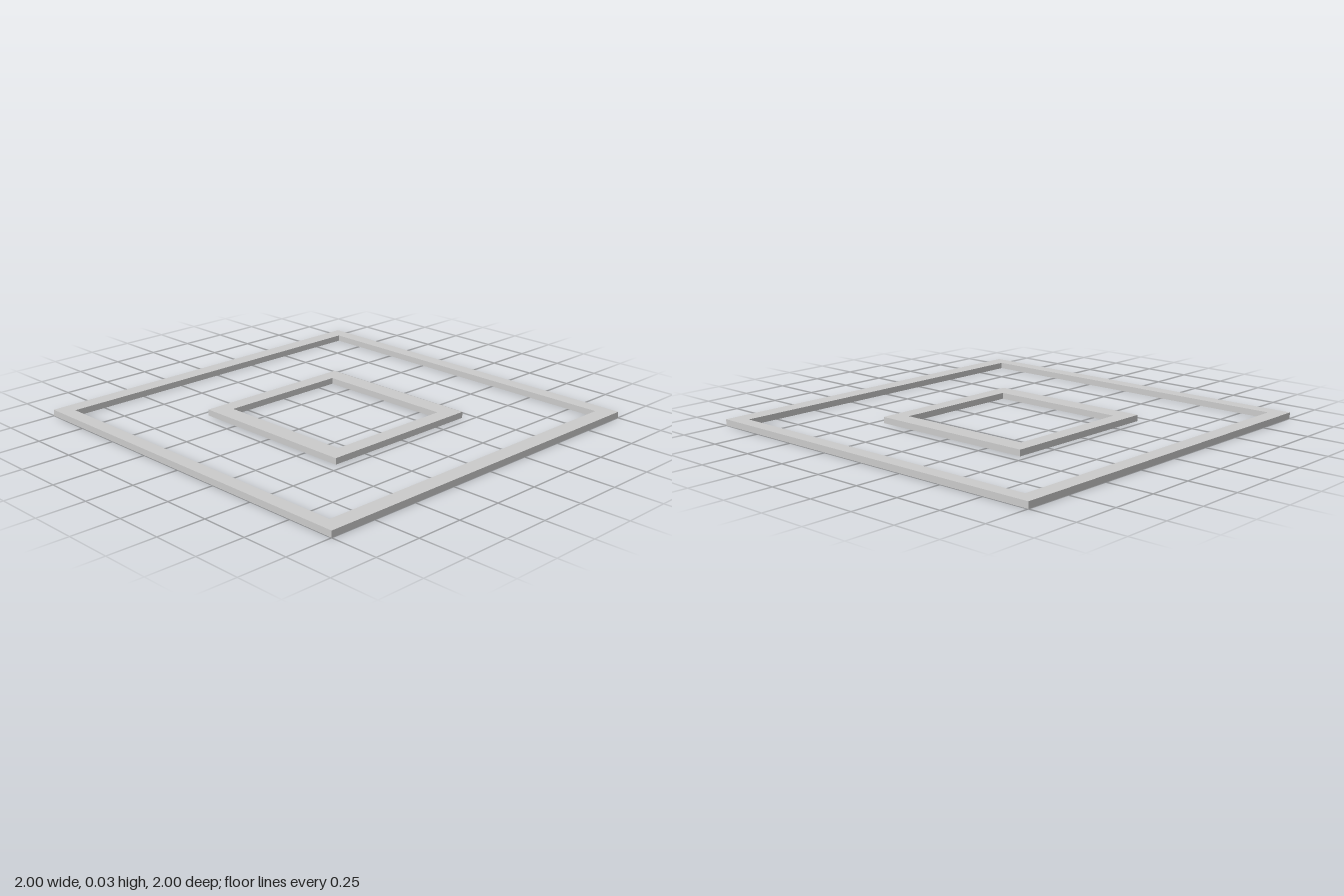
import * as THREE from 'three';

const HEIGHT = 0.032;
const material = new THREE.MeshStandardMaterial({ color: 0xcccccc, side: THREE.DoubleSide });

// Rectangle corners, counter-clockwise; shape y becomes -z once laid flat
function corners({ x, back, front }) {
  return [[-x, -front], [x, -front], [x, -back], [-x, -back]].map(([a, b]) => new THREE.Vector2(a, b));
}

// Vertical walls along a rectangle; outward walls face away from its centre
function addWalls(group, points, name, outward) {
  points.forEach((p, i) => {
    const q = points[(i + 1) % points.length];
    const [a, b] = outward ? [p, q] : [q, p];
    const wall = new THREE.Mesh(new THREE.PlaneGeometry(a.distanceTo(b), HEIGHT), material);
    wall.position.set((a.x + b.x) / 2, HEIGHT / 2, -(a.y + b.y) / 2);
    wall.rotation.y = Math.atan2(b.y - a.y, b.x - a.x);
    wall.name = name;
    group.add(wall);
  });
}

// Rectangular frame made as a shallow channel, open underneath
function makeFrame(name, outer, inner) {
  const frame = new THREE.Group();
  frame.name = name;
  const outerPoints = corners(outer);
  const innerPoints = corners(inner);

  const shape = new THREE.Shape(outerPoints);
  shape.holes.push(new THREE.Path(innerPoints));
  const top = new THREE.Mesh(new THREE.ShapeGeometry(shape).rotateX(-Math.PI / 2), material);
  top.position.y = HEIGHT;
  top.name = 'topFace';
  frame.add(top);

  addWalls(frame, outerPoints, 'outerWall', true);
  addWalls(frame, innerPoints, 'innerWall', false);
  return frame;
}

export function createModel() {
  const model = new THREE.Group();
  model.name = 'nestedFrames';
  model.add(
    makeFrame('outerFrame', { x: 1, back: -1, front: 1 }, { x: 0.927, back: -0.918, front: 0.913 }),
    makeFrame('innerFrame', { x: 0.443, back: -0.459, front: 0.455 }, { x: 0.348, back: -0.379, front: 0.373 }),
  );
  return model;
}
